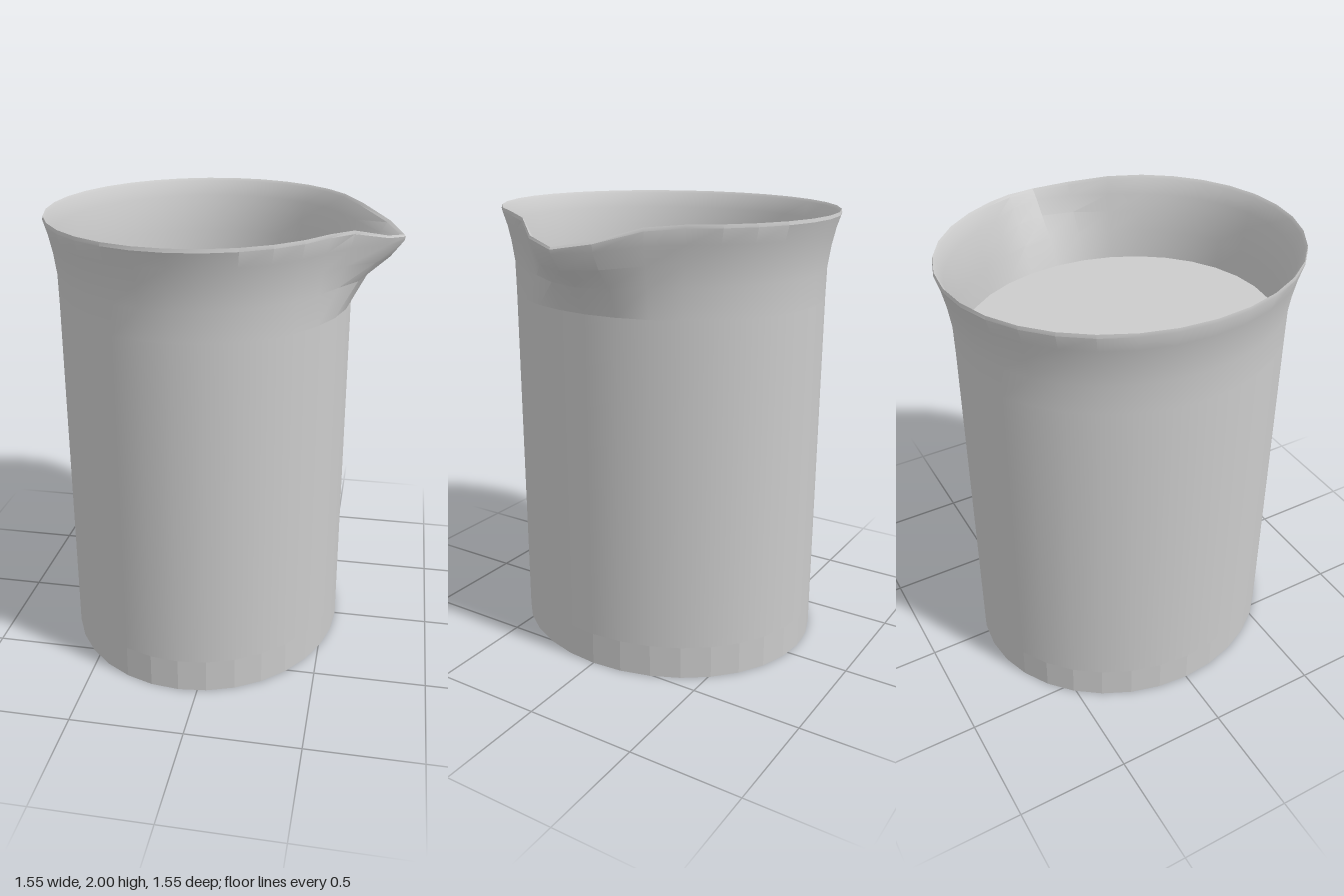
import * as THREE from 'three';
import { toCreasedNormals } from 'three/addons/utils/BufferGeometryUtils.js';

const SIDES = 32;
const CENTRE_X = -0.085; // the bowl sits off-centre to balance the spout
const SQUASH_X = 0.89;   // the cross-section is slightly oval

const grey = (options = {}) => new THREE.MeshStandardMaterial({ color: 0xcccccc, ...options });

function addMesh(group, name, geometry, material) {
  const mesh = new THREE.Mesh(geometry, material);
  mesh.name = name;
  group.add(mesh);
  return mesh;
}

// Oval wall between two heights
function ovalWall(radius, y0, y1) {
  return new THREE.CylinderGeometry(radius, radius, y1 - y0, SIDES, 1, true)
    .translate(0, (y0 + y1) / 2, 0)
    .scale(SQUASH_X, 1, 1)
    .translate(CENTRE_X, 0, 0);
}

// Oval disc facing up or down
function ovalDisc(radius, y, up) {
  return new THREE.CircleGeometry(radius, SIDES)
    .rotateX(up ? -Math.PI / 2 : Math.PI / 2)
    .scale(SQUASH_X, 1, 1)
    .translate(CENTRE_X, y, 0);
}

// Flared rim: rings run up the outside, over the lip and down the inside
function rimGeometry() {
  // [radius, height, spout reach in x, spout drop in y]
  const rings = [
    [0.72, 1.62, 0, 0],
    [0.722, 1.75, 0.063, 0.01],
    [0.735, 1.84, 0.143, 0.02],
    [0.753, 1.92, 0.182, 0.03],
    [0.774, 1.985, 0.168, 0.077],
    [0.771, 2.0, 0.165, 0.083],
    [0.76, 1.988, 0.16, 0.078],
    [0.737, 1.92, 0.15, 0.04],
    [0.718, 1.84, 0.115, 0.02],
    [0.704, 1.75, 0.055, 0.01],
    [0.695, 1.62, 0, 0],
  ];
  const weights = [1, 0.69, 0.13]; // spout falloff on each side of its tip
  const positions = [];
  const index = [];
  rings.forEach(([r, y, reach, drop], i) => {
    for (let k = 0; k < SIDES; k++) {
      const a = (k / SIDES) * Math.PI * 2;
      const w = weights[Math.min(k, SIDES - k)] ?? 0;
      positions.push(CENTRE_X + SQUASH_X * r * Math.cos(a) + reach * w, y - drop * w, r * Math.sin(a));
      if (i === rings.length - 1) continue;
      const p = i * SIDES + k;
      const q = i * SIDES + ((k + 1) % SIDES);
      index.push(p, p + SIDES, q, q, p + SIDES, q + SIDES);
    }
  });
  const geometry = new THREE.BufferGeometry();
  geometry.setAttribute('position', new THREE.Float32BufferAttribute(positions, 3));
  geometry.setIndex(index);
  return toCreasedNormals(geometry, 0.5);
}

export function createModel() {
  const group = new THREE.Group();
  group.name = 'beaker';

  // Body: faceted foot band, smooth wall and flat underside
  addMesh(group, 'footBand', ovalWall(0.72, 0, 0.15), grey({ flatShading: true }));
  addMesh(group, 'bodyWall', ovalWall(0.72, 0.15, 1.62), grey());
  addMesh(group, 'underside', ovalDisc(0.72, 0, false), grey());

  // Flat surface inside, at the foot of the rim
  addMesh(group, 'innerSurface', ovalDisc(0.697, 1.62, true), grey());

  // Flared rim with pouring spout
  addMesh(group, 'rimWithSpout', rimGeometry(), grey({ side: THREE.DoubleSide }));

  return group;
}
